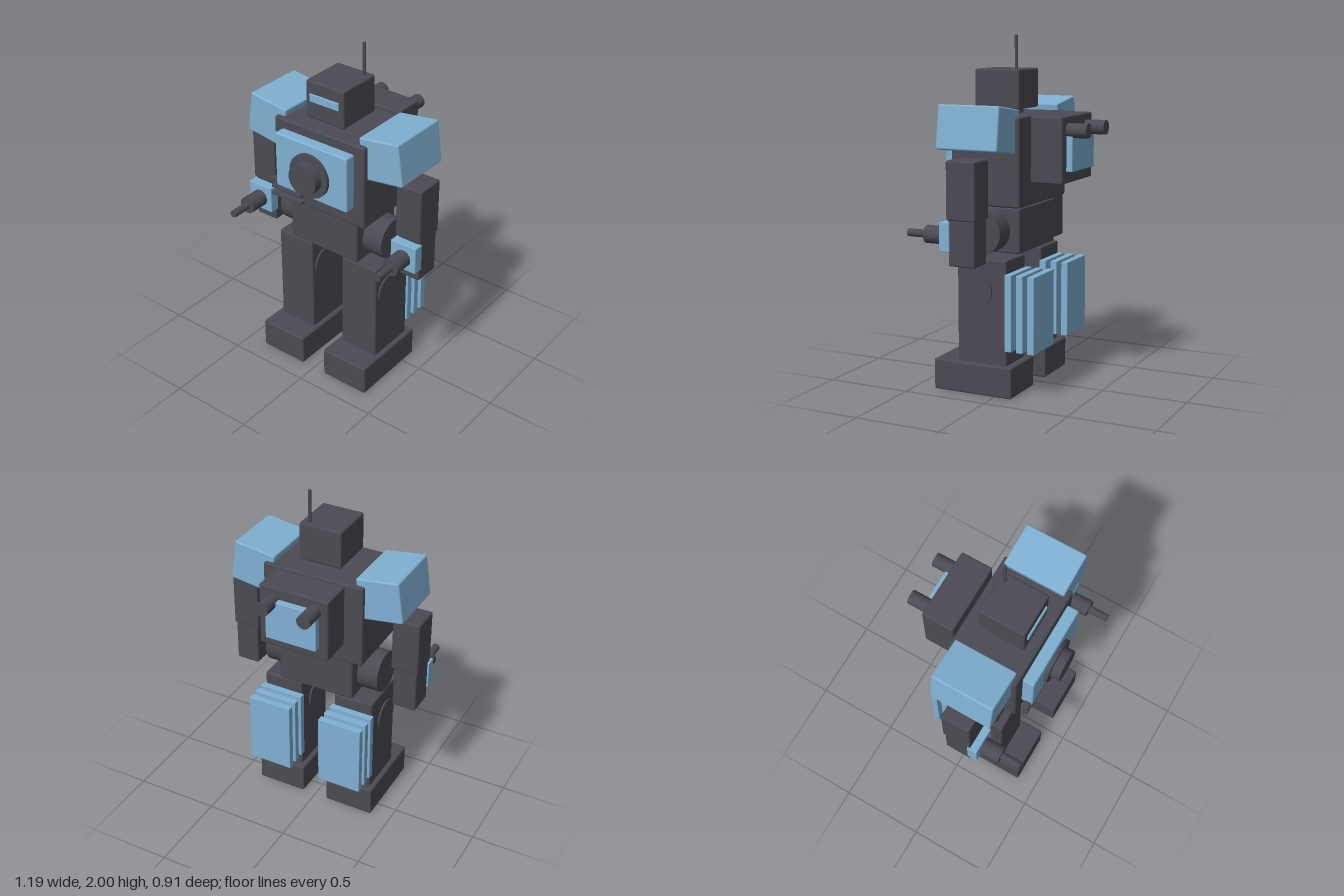
import * as THREE from 'three';
import { RoundedBoxGeometry } from 'three/addons/geometries/RoundedBoxGeometry.js';

export function createModel() {
  const dark = new THREE.MeshStandardMaterial({ color: 0x4b4a53 });
  dark.name = 'charcoal';
  const blue = new THREE.MeshStandardMaterial({ color: 0x7fb0d2 });
  blue.name = 'paleBlue';

  const robot = new THREE.Group();
  robot.name = 'robot';

  const group = (name) => {
    const g = new THREE.Group();
    g.name = name;
    robot.add(g);
    return g;
  };

  // Softly bevelled box given by its extents
  const box = (parent, name, mat, [x0, x1], [y0, y1], [z0, z1], r = 0.01) => {
    const geo = new RoundedBoxGeometry(x1 - x0, y1 - y0, z1 - z0, 2, r);
    const mesh = new THREE.Mesh(geo, mat);
    mesh.name = name;
    mesh.position.set((x0 + x1) / 2, (y0 + y1) / 2, (z0 + z1) / 2);
    parent.add(mesh);
    return mesh;
  };

  // Cylinder along one axis, running from a to b
  const rod = (parent, name, axis, r, a, b, [x, y, z], sides = 28) => {
    const geo = new THREE.CylinderGeometry(r, r, b - a, sides);
    if (axis === 'x') geo.rotateZ(-Math.PI / 2);
    if (axis === 'z') geo.rotateX(Math.PI / 2);
    const mesh = new THREE.Mesh(geo, dark);
    mesh.name = name;
    mesh.position.set(x, y, z);
    mesh.position[axis] = (a + b) / 2;
    parent.add(mesh);
    return mesh;
  };

  // Head
  const head = group('head');
  box(head, 'skull', dark, [-0.128, 0.128], [1.59, 1.812], [-0.035, 0.24]);
  box(head, 'visor', blue, [-0.098, 0.098], [1.695, 1.74], [0.22, 0.25], 0.003);
  rod(head, 'neck', 'y', 0.083, 1.54, 1.61, [0, 0, 0.09]);
  rod(head, 'antenna', 'y', 0.009, 1.78, 2.0, [0.082, 0, 0.003], 12);

  // Torso with chest plate, lens and vents
  const torso = group('torso');
  box(torso, 'chest', dark, [-0.308, 0.308], [1.063, 1.563], [-0.123, 0.298], 0.012);
  box(torso, 'chestPlate', blue, [-0.246, 0.246], [1.18, 1.512], [0.3, 0.37]);
  rod(torso, 'lensRing', 'z', 0.13, 0.35, 0.39, [0, 1.33, 0], 36);
  rod(torso, 'lens', 'z', 0.092, 0.38, 0.443, [0, 1.33, 0], 36);
  for (const y of [1.11, 1.156, 1.202]) {
    box(torso, 'vent', dark, [-0.29, -0.08], [y - 0.01, y + 0.01], [0.327, 0.362], 0.003);
  }

  // Waist and pelvis
  const hips = group('hips');
  rod(hips, 'waist', 'y', 0.145, 1.03, 1.08, [0, 0, 0.09]);
  box(hips, 'pelvis', dark, [-0.235, 0.235], [0.795, 1.05], [-0.09, 0.265]);
  rod(hips, 'hipAxle', 'x', 0.122, -0.362, 0.362, [0, 0.922, 0.09]);

  // Backpack with two rear thrusters
  const pack = group('backpack');
  box(pack, 'packBody', dark, [-0.21, 0.21], [1.195, 1.565], [-0.335, -0.143]);
  box(pack, 'packPanel', blue, [-0.155, 0.155], [1.26, 1.5], [-0.371, -0.32], 0.006);

  for (const s of [1, -1]) {
    const side = s > 0 ? 'left' : 'right';
    const span = (a, b) => (s > 0 ? [a, b] : [-b, -a]);

    rod(pack, side + 'Thruster', 'z', 0.041, -0.455, -0.31, [0.127 * s, 1.487, 0], 24);

    // Arm with tilted shoulder pad
    const arm = group(side + 'Arm');
    rod(arm, 'shoulderJoint', 'x', 0.11, ...span(0.28, 0.378), [0, 1.473, 0.085]);
    const pad = box(arm, 'shoulderPad', blue, [-0.127, 0.127], [-0.122, 0.122], [-0.185, 0.185]);
    pad.position.set(0.391 * s, 1.497, 0.085);
    pad.rotation.z = 0.14 * s;
    box(arm, 'upperArm', dark, span(0.43, 0.592), [1.02, 1.345], [0, 0.176]);
    box(arm, 'forearm', dark, span(0.442, 0.585), [0.77, 1.025], [0.008, 0.166]);
    box(arm, 'wristPlate', blue, span(0.43, 0.595), [0.848, 1.01], [0.156, 0.218], 0.005);
    rod(arm, 'blasterBase', 'z', 0.05, 0.2, 0.336, [0.513 * s, 0.924, 0], 24);
    rod(arm, 'blasterBarrel', 'z', 0.022, 0.32, 0.453, [0.513 * s, 0.924, 0], 20);

    // Leg with knee disc and calf fins
    const leg = group(side + 'Leg');
    box(leg, 'foot', dark, span(0.078, 0.38), [0, 0.178], [-0.105, 0.38]);
    box(leg, 'shin', dark, span(0.108, 0.35), [0.16, 0.775], [-0.063, 0.24]);
    rod(leg, 'kneeDisc', 'x', 0.097, ...span(0.098, 0.36), [0, 0.592, 0.12]);
    for (let i = 0; i < 3; i++) {
      const z = -0.079 - i * 0.069;
      box(leg, 'calfFin', blue, span(0.095, 0.362), [0.265, 0.7], [z - 0.02, z + 0.02], 0.003);
    }
  }
  return robot;
}
